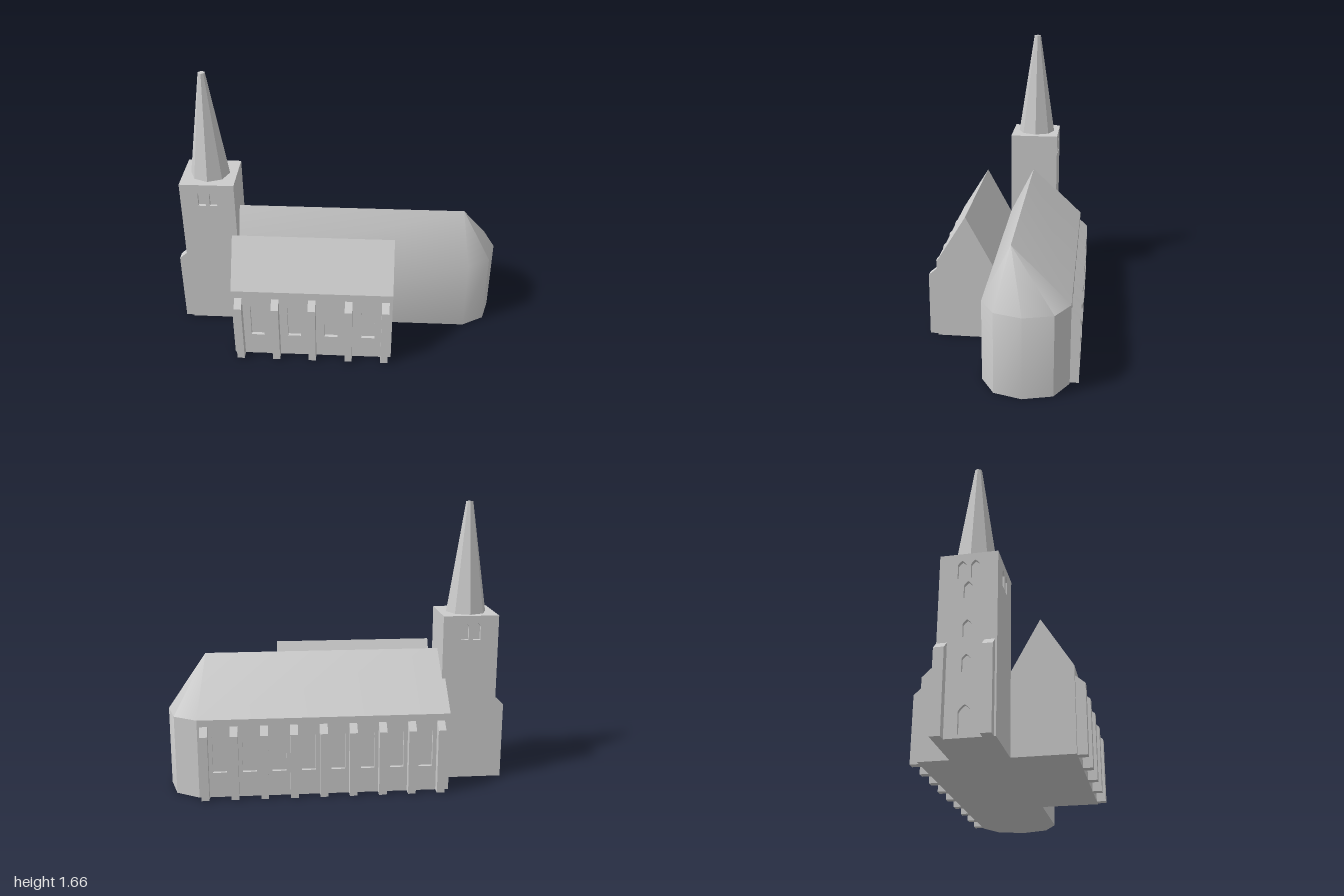
import * as THREE from 'three';
import { toCreasedNormals } from 'three/addons/utils/BufferGeometryUtils.js';

const stone = new THREE.MeshStandardMaterial({ color: 0xcccccc });
stone.name = 'pale stone';

const RECESS = 0.02;

function add(parent, name, geometry, x = 0, y = 0, z = 0, turn = 0) {
  const mesh = new THREE.Mesh(geometry, stone);
  mesh.name = name;
  mesh.position.set(x, y, z);
  mesh.rotation.y = turn;
  parent.add(mesh);
  return mesh;
}

const polygon = (pts) => new THREE.Shape(pts.map(([x, y]) => new THREE.Vector2(x, y)));

// Pointed window opening: centre u, sill, tip, width
function lancet([u, sill, tip, w]) {
  const h = w / 2, spring = tip - w * 0.55;
  const p = new THREE.Path();
  p.moveTo(u - h, sill);
  p.lineTo(u + h, sill);
  p.lineTo(u + h, spring);
  p.quadraticCurveTo(u + h * 0.75, spring + (tip - spring) * 0.5, u, tip);
  p.quadraticCurveTo(u - h * 0.75, spring + (tip - spring) * 0.5, u - h, spring);
  p.lineTo(u - h, sill);
  return p;
}

// Wall slab facing +z, pierced by windows
function piercedWall(u0, u1, height, windows) {
  const s = polygon([[u0, 0], [u1, 0], [u1, height], [u0, height]]);
  s.holes = windows.map(lancet);
  return new THREE.ExtrudeGeometry(s, { depth: RECESS, bevelEnabled: false, curveSegments: 4 });
}

// Buttress projecting along +x, with a sloping cap
function buttress(reach, low, high, width) {
  const s = polygon([[-0.01, 0], [reach, 0], [reach, low], [0, high], [-0.01, high]]);
  return new THREE.ExtrudeGeometry(s, { depth: width, bevelEnabled: false }).translate(0, 0, -width / 2);
}

// Nave shell with polygonal apse; the back wall is a separate pierced slab
function naveShell() {
  const EAVE = 0.47;
  const plan = [[-0.64, 0.07], [0.82, 0.07], [0.955, -0.01], [1, -0.165],
    [0.955, -0.33], [0.82, -0.41], [-0.64, -0.41]];
  const r0 = [-0.64, 0.78, -0.085], r1 = [0.78, 0.78, -0.085];
  const n = plan.length, pos = [];
  const at = (i, y) => [plan[i % n][0], y, plan[i % n][1]];
  const tri = (a, b, c) => pos.push(...a, ...b, ...c);
  for (let i = 0; i < n; i++) {
    const a = at(i, EAVE), b = at(i + 1, EAVE);
    if (i !== 5) {
      tri(at(i, 0), at(i + 1, 0), b);
      tri(at(i, 0), b, a);
    }
    tri(a, b, i < 5 ? r1 : r0);
    if (i === 0) tri(a, r1, r0);
    if (i === 5) tri(a, r0, r1);
    if (i > 0 && i < n - 1) tri(at(0, 0), at(i + 1, 0), at(i, 0));
  }
  const g = new THREE.BufferGeometry();
  g.setAttribute('position', new THREE.Float32BufferAttribute(pos, 3));
  return toCreasedNormals(g, 0.7);
}

export function createModel() {
  const church = new THREE.Group();
  church.name = 'church';

  // Nave
  const nave = new THREE.Group();
  nave.name = 'nave';
  church.add(nave);
  add(nave, 'naveAndApse', naveShell());
  const backX = Array.from({ length: 9 }, (_, i) => -0.585 + i * 0.171);
  const backWindows = backX.slice(1).map((x) => [-(x - 0.0855), 0.15, 0.41, 0.08]);
  add(nave, 'naveBackWall', piercedWall(-0.82, 0.64, 0.47, backWindows), 0, 0, -0.41 + RECESS, Math.PI);
  add(nave, 'naveWindowRecess', new THREE.PlaneGeometry(1.46, 0.47), 0.09, 0.235, -0.41 + RECESS, Math.PI);
  for (const x of backX) {
    add(nave, 'naveButtress', buttress(0.05, 0.385, 0.43, 0.045), x, 0, -0.41, Math.PI / 2);
  }

  // Side aisle with its own gabled roof
  const aisle = new THREE.Group();
  aisle.name = 'aisle';
  church.add(aisle);
  const Z = 0.405;
  const profile = polygon([[0.07, 0], [Z - RECESS, 0], [Z - RECESS, 0.48], [Z, 0.48], [0.23, 0.765], [0.07, 0.47]]);
  add(aisle, 'aisleBody', new THREE.ExtrudeGeometry(profile, { depth: 0.97, bevelEnabled: false }),
    0.35, 0, 0, -Math.PI / 2);
  const aisleWindows = [-0.47, -0.245, -0.02, 0.205].map((x) => [x, 0.15, 0.41, 0.08]);
  add(aisle, 'aisleFrontWall', piercedWall(-0.62, 0.35, 0.48, aisleWindows), 0, 0, Z - RECESS);
  for (let i = 0; i < 5; i++) {
    add(aisle, 'aisleButtress', buttress(0.053, 0.385, 0.43, 0.045), -0.578 + i * 0.2215, 0, Z, -Math.PI / 2);
  }

  // Tower: a core box with pierced walls on three sides
  const tower = new THREE.Group();
  tower.name = 'tower';
  church.add(tower);
  const H = 1.01, cx = -0.785, cz = -0.085;
  add(tower, 'towerCore', new THREE.BoxGeometry(0.33 - RECESS, H, 0.31 - 2 * RECESS), cx + RECESS / 2, H / 2, cz);
  const belfry = [-0.035, 0.035].map((u) => [u, 0.865, 0.97, 0.045]);
  add(tower, 'towerFrontWall', piercedWall(-0.165, 0.165, H, belfry), cx, 0, 0.07 - RECESS);
  add(tower, 'towerBackWall', piercedWall(-0.165, 0.165, H, belfry), cx, 0, -0.24 + RECESS, Math.PI);
  const westOpenings = [...belfry, [0, 0.75, 0.845, 0.045], [0, 0.53, 0.625, 0.045],
    [0, 0.34, 0.435, 0.045], [0, 0.02, 0.17, 0.065]];
  add(tower, 'towerWestWall', piercedWall(-0.135, 0.135, H, westOpenings), -0.95 + RECESS, 0, cz, -Math.PI / 2);
  for (const z of [-0.2125, 0.0325]) {
    add(tower, 'towerButtress', buttress(0.05, 0.46, 0.505, 0.055), -0.95, 0, z, Math.PI);
  }

  // Spire
  const spire = new THREE.CylinderGeometry(0.021, 0.12, 0.655, 8).toNonIndexed();
  spire.computeVertexNormals();
  add(tower, 'spire', spire, cx, H + 0.3275, -0.09);

  return church;
}
